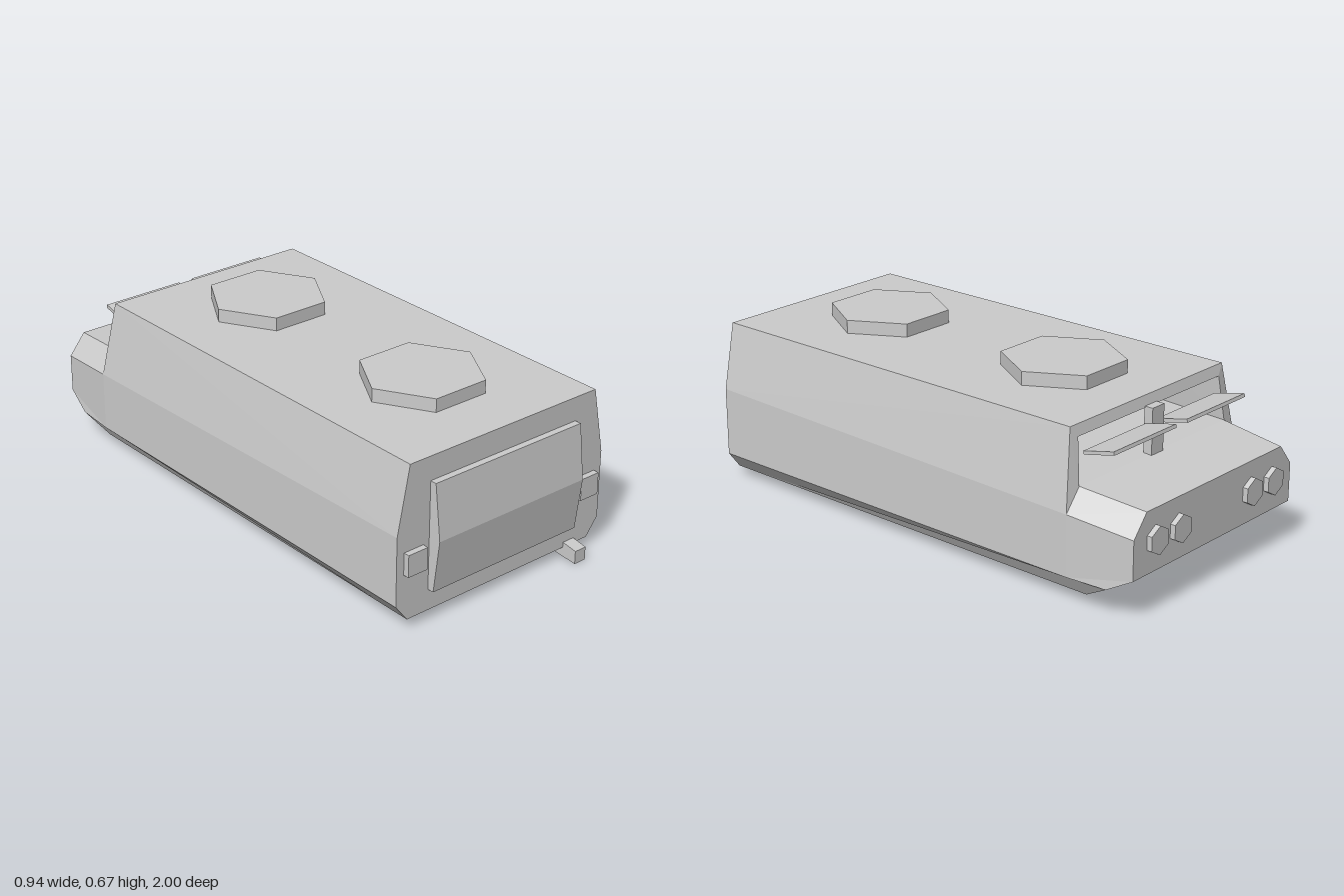
import * as THREE from 'three';

const material = new THREE.MeshStandardMaterial({ color: 0xcccccc, flatShading: true, side: THREE.DoubleSide });

// Flat-sided shell from convex outlines of the +x half, mirrored to -x
function mirroredShell(polygons) {
  const pos = [];
  for (const poly of polygons) {
    for (let i = 1; i < poly.length - 1; i++) {
      const tri = [poly[0], poly[i], poly[i + 1]];
      for (const p of tri) pos.push(...p);
      for (const p of tri.reverse()) pos.push(-p[0], p[1], p[2]);
    }
  }
  const g = new THREE.BufferGeometry();
  g.setAttribute('position', new THREE.Float32BufferAttribute(pos, 3));
  g.computeVertexNormals();
  return g;
}

// Side profile of [z, y] points, extruded from x0 to x1
function sideProfile(points, x0, x1) {
  const shape = new THREE.Shape(points.map(([z, y]) => new THREE.Vector2(z, y)));
  const g = new THREE.ExtrudeGeometry(shape, { depth: x1 - x0, bevelEnabled: false });
  return g.rotateY(-Math.PI / 2).translate(x1, 0, 0);
}

export function createModel() {
  const model = new THREE.Group();
  model.name = 'armouredCarrier';
  const add = (name, geometry, x = 0, y = 0, z = 0) => {
    const mesh = new THREE.Mesh(geometry, material);
    mesh.name = name;
    mesh.position.set(x, y, z);
    model.add(mesh);
    return mesh;
  };

  // Hull corners: end plate, cab, bow, window opening and its recess
  const end = [[0.42, 0.04, 0.94], [0.47, 0.105, 0.94], [0.47, 0.365, 0.94], [0.42, 0.615, 0.94]];
  const roof = [0.42, 0.615, -0.69], shoulder = [0.47, 0.33, -0.72], waist = [0.47, 0.105, -0.72];
  const keel = [0.42, 0.04, -0.77], chine = [0.458, 0.105, -0.88];
  const noseLow = [0.445, 0.16, -0.98], noseSide = [0.445, 0.305, -0.98], noseTop = [0.38, 0.385, -0.98];
  const deck = [0.405, 0.41, -0.72], lintel = [0.39, 0.575, -0.7];
  const recessLow = [0.405, 0.42, -0.45], recessTop = [0.39, 0.575, -0.45];
  const mid = ([, y, z]) => [0, y, z];

  add('hull', mirroredShell([
    [mid(end[0]), ...end, mid(end[3])],                              // end plate
    [end[3], roof, mid(roof), mid(end[3])],                          // roof
    [end[2], shoulder, roof, end[3]],                                // upper side
    [end[1], waist, shoulder, end[2]],                               // lower side
    [waist, chine, noseLow, noseSide, shoulder],                     // bow side
    [end[0], keel, chine, waist, end[1]],                            // bottom chamfer
    [end[0], mid(end[0]), mid(keel), keel],                          // belly
    [keel, mid(keel), mid(noseLow), noseLow, chine],                 // lower bow slope
    [noseLow, mid(noseLow), mid(noseTop), noseTop, noseSide],        // nose
    [deck, noseTop, mid(noseTop), mid(deck)],                        // deck
    [shoulder, noseSide, noseTop, deck],                             // deck chamfer
  ]));
  add('windowFrame', mirroredShell([
    [roof, shoulder, deck, lintel],                                  // pillar
    [roof, lintel, mid(lintel), mid(roof)],                          // header
    [deck, mid(deck), mid(recessLow), recessLow],                    // recess floor
    [lintel, recessTop, mid(recessTop), mid(lintel)],                // recess ceiling
    [deck, recessLow, recessTop, lintel],                            // recess side
    [recessTop, recessLow, mid(recessLow), mid(recessTop)],          // recess back
  ]));
  add('windowPost', new THREE.BoxGeometry(0.065, 0.18, 0.035), 0, 0.49, -0.714);

  // Six-sided roof hatches
  for (const z of [-0.315, 0.53]) {
    add('roofHatch', new THREE.CylinderGeometry(0.225, 0.225, 0.05, 6).rotateY(Math.PI / 2), 0, 0.64, z);
  }

  // Ridged door and tow bar on the +z end
  add('door', sideProfile([[0.94, 0.12], [0.965, 0.12], [0.99, 0.32], [0.965, 0.525], [0.94, 0.525]], -0.33, 0.33));
  add('towBar', sideProfile([[1, 0], [1, 0.05], [0.94, 0.06], [0.56, 0.05], [0.56, 0.038]], 0.305, 0.355));

  for (const s of [-1, 1]) {
    add('endLamp', new THREE.BoxGeometry(0.083, 0.083, 0.025), s * 0.397, 0.257, 0.95);
    // Raised window shutter
    const shutter = add('windowShutter', new THREE.BoxGeometry(0.335, 0.013, 0.13), s * 0.198, 0.527, -0.767);
    shutter.rotation.x = 0.23;
    for (const x of [0.205, 0.33]) {
      add('headlight', new THREE.CylinderGeometry(0.052, 0.052, 0.03, 6).rotateX(Math.PI / 2), s * x, 0.274, -0.985);
    }
  }
  return model;
}
